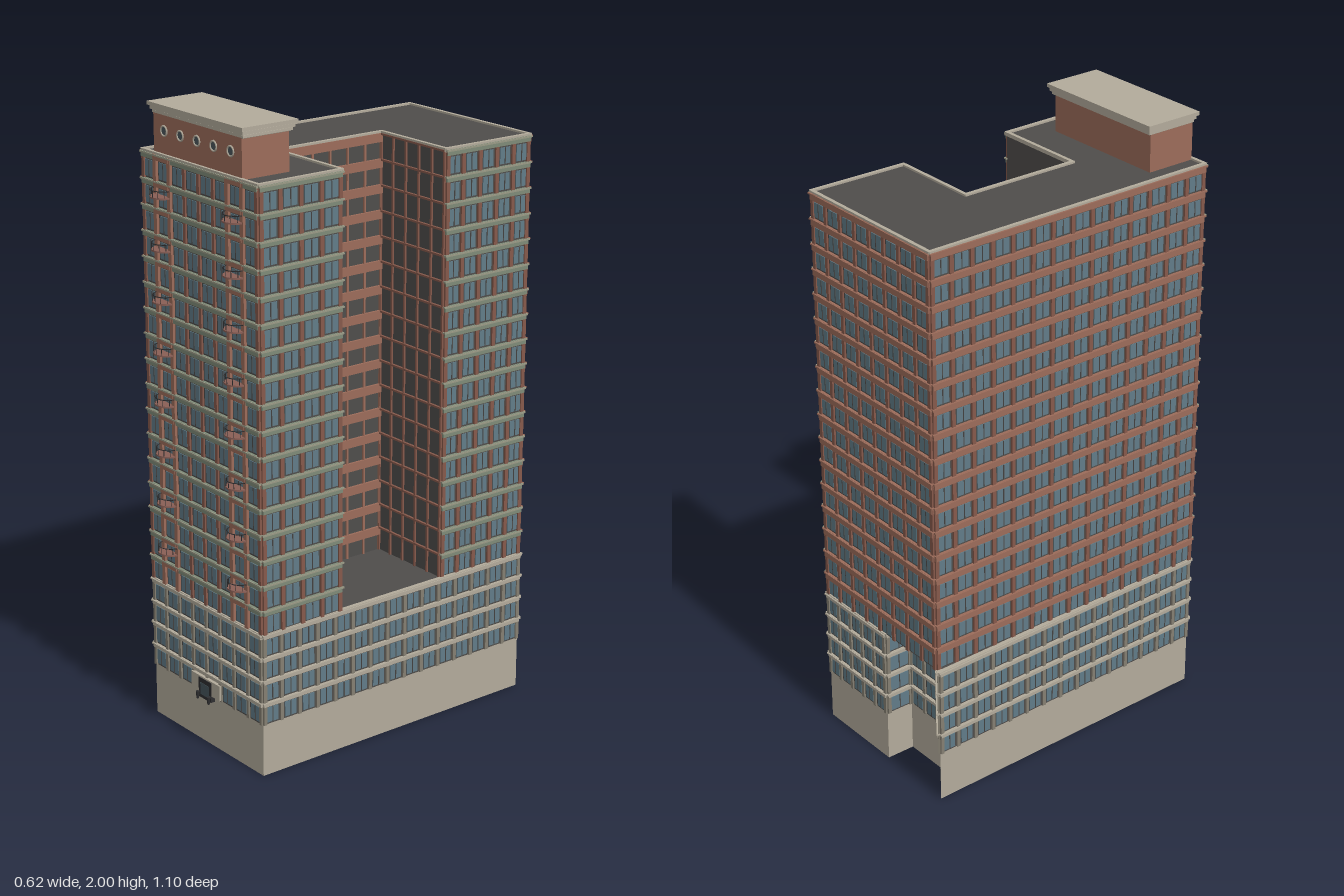
import * as THREE from 'three';
import { mergeGeometries } from 'three/addons/utils/BufferGeometryUtils.js';

const paint = {};
const mat = (color) => (paint[color] ??= new THREE.MeshStandardMaterial({ color }));
const BRICK = 0x9c6c5a, GREEN = 0x7f8b78, TAN = 0xb3ab9b, DARK = 0x4f4d4b, GLASS = 0x617c88,
  STONE = 0x857f72, PIER = 0x86594b, IRON = 0x2e2e30;

// Plan outlines [x, z], walked front, right, back, left
const TOWER = [[-0.28, 0.503], [0.297, 0.503], [0.294, 0.203], [-0.02, 0.203],
  [-0.02, -0.203], [0.284, -0.203], [0.288, -0.535], [-0.282, -0.535]];
const PODIUM = [[-0.278, 0.503], [0.294, 0.503], [0.29, -0.535], [-0.02, -0.535],
  [-0.02, -0.44], [-0.165, -0.44], [-0.298, -0.538]];
const BASE_TOP = 0.17, PODIUM_TOP = 0.468, ROOF = 1.845;

function add(parent, name, geometry, color) {
  const mesh = new THREE.Mesh(geometry, mat(color));
  mesh.name = name;
  parent.add(mesh);
  return mesh;
}

const box = (w, h, d, x, y, z) => new THREE.BoxGeometry(w, h, d).translate(x, y, z);

// Solid with the given plan between two heights
function prism(plan, y0, y1) {
  const shape = new THREE.Shape(plan.map(([x, z]) => new THREE.Vector2(x, -z)));
  return new THREE.ExtrudeGeometry(shape, { depth: y1 - y0, bevelEnabled: false })
    .rotateX(-Math.PI / 2).translate(0, y0, 0);
}

// Group on a plan edge: local x runs along the wall, local z points outward
function wallGroup(parent, name, [ax, az], [bx, bz]) {
  const group = new THREE.Group();
  group.name = name;
  group.position.set((ax + bx) / 2, 0, (az + bz) / 2);
  group.rotation.y = Math.atan2(az - bz, bx - ax);
  parent.add(group);
  return { group, length: Math.hypot(bx - ax, bz - az) };
}

// Grid of windows, piers and floor bands on one wall
function facade(parent, name, a, b, o) {
  const { group, length } = wallGroup(parent, name, a, b);
  const cw = length / o.cols, rh = (o.y1 - o.y0) / o.rows;
  const panes = [], mullions = [], piers = [], bands = [], ledges = [];
  for (let c = 0; c <= o.cols; c++) {
    const edge = c === 0 ? 0.5 : c === o.cols ? -0.5 : 0;
    piers.push(box(o.pier, o.y1 - o.y0, 0.006, -length / 2 + c * cw + edge * o.pier, (o.y0 + o.y1) / 2, 0.003));
  }
  for (let r = 0; r < o.rows; r++) {
    const top = o.y0 + (r + 1) * rh;
    bands.push(box(length, o.band, 0.008, 0, top - o.band / 2, 0.004));
    ledges.push(box(length + 0.008, 0.005, 0.012, 0, top - 0.003, 0.005));
    for (let c = 0; c < o.cols && o.glass; c++) {
      const x = -length / 2 + (c + 0.5) * cw, h = rh - o.band - 0.012;
      const y = o.y0 + r * rh + 0.006 + h / 2;
      panes.push(box(cw - o.pier - 0.014, h, 0.003, x, y, 0.001));
      mullions.push(box(0.003, h, 0.005, x, y, 0.0015));
    }
  }
  add(group, 'piers', mergeGeometries(piers), o.pierColor);
  add(group, 'floorBands', mergeGeometries(bands), o.bandColor);
  if (o.ledge) add(group, 'ledges', mergeGeometries(ledges), o.ledge);
  if (o.glass) {
    add(group, 'windowPanes', mergeGeometries(panes), GLASS);
    add(group, 'mullions', mergeGeometries(mullions), DARK);
  }
}

// Coping strip along every edge of a plan
function coping(parent, name, plan, y, width, height, color) {
  plan.forEach((p, i) => {
    const { group, length } = wallGroup(parent, name, p, plan[(i + 1) % plan.length]);
    add(group, name + 'Strip', box(length + 0.008, height, width, 0, y, 0.006 - width / 2), color);
  });
}

function buildPodium(root) {
  const g = new THREE.Group();
  g.name = 'podium';
  root.add(g);
  add(g, 'base', prism(PODIUM, 0, BASE_TOP), TAN);
  add(g, 'podiumCore', prism(PODIUM, BASE_TOP, PODIUM_TOP), DARK);
  const cols = [8, 15, 5, 1, 2, 2, 15];
  PODIUM.forEach((p, i) => facade(g, 'podiumWall', p, PODIUM[(i + 1) % PODIUM.length], {
    cols: cols[i], rows: 4, y0: BASE_TOP, y1: PODIUM_TOP, pier: 0.012, band: 0.014,
    pierColor: STONE, bandColor: TAN, ledge: TAN, glass: true,
  }));
  coping(g, 'podiumCornice', PODIUM, PODIUM_TOP - 0.004, 0.014, 0.012, TAN);

  // Entrance with stone surround and two lamps
  add(g, 'entranceSurround', box(0.15, 0.05, 0.012, 0.01, 0.2, 0.509), TAN);
  add(g, 'entranceDoor', box(0.066, 0.066, 0.018, 0.01, 0.187, 0.508), IRON);
  add(g, 'entranceGlass', box(0.046, 0.04, 0.02, 0.01, 0.185, 0.508), 0x47565c);
  for (const x of [-0.018, 0.04]) {
    add(g, 'lampBracket', box(0.004, 0.004, 0.022, x, 0.172, 0.514), IRON);
    add(g, 'lamp', new THREE.CylinderGeometry(0.006, 0.004, 0.024, 8).translate(x, 0.163, 0.525), IRON);
  }
}

function buildTower(root) {
  const g = new THREE.Group();
  g.name = 'tower';
  root.add(g);
  add(g, 'towerCore', prism(TOWER, PODIUM_TOP, ROOF), DARK);
  const common = { rows: 17, y0: PODIUM_TOP, y1: ROOF, pier: 0.013, band: 0.018, pierColor: PIER, glass: true };
  const green = { ...common, bandColor: GREEN, ledge: 0x9a9a86 };
  const brick = { ...common, bandColor: BRICK, band: 0.022, ledge: BRICK };
  const court = { ...common, bandColor: BRICK, band: 0.028, pier: 0.007, pierColor: BRICK, glass: false };
  const styles = [
    ['frontWall', 8, green], ['frontWingSide', 4, green], null, ['courtyardBackWall', 6, court],
    ['courtyardSideWall', 5, { ...court, band: 0.006, pierColor: PIER, bandColor: PIER }],
    ['rearWingSide', 5, green], ['backWall', 8, brick], ['leftWall', 14, brick],
  ];
  styles.forEach((s, i) => {
    if (s) facade(g, s[0], TOWER[i], TOWER[(i + 1) % TOWER.length], { ...s[2], cols: s[1] });
  });
  coping(g, 'roofCoping', TOWER, ROOF, 0.012, 0.012, TAN);
}

// Half-round balconies with railings, on every second floor of two brick-lined bays
function buildBalconies(root) {
  const g = new THREE.Group();
  g.name = 'balconies';
  root.add(g);
  const pitch = (ROOF - PODIUM_TOP) / 17, r = 0.042;
  for (const x of [-0.173, 0.189]) {
    for (const s of [-1, 1]) {
      add(g, 'bayPier', box(0.016, ROOF - PODIUM_TOP, 0.009, x + s * 0.036, (ROOF + PODIUM_TOP) / 2, 0.5075), BRICK);
    }
    for (let f = 0; f < 17; f++) {
      add(g, 'bayBand', box(0.072, 0.014, 0.011, x, PODIUM_TOP + (f + 1) * pitch - 0.01, 0.5085), BRICK);
    }
    for (let i = 0; i < 8; i++) {
      const balcony = new THREE.Group();
      balcony.name = 'balcony';
      balcony.position.set(x, PODIUM_TOP + (1.5 + 2 * i) * pitch, 0.504);
      add(balcony, 'slab', new THREE.CylinderGeometry(r, r, 0.005, 16, 1, false, -Math.PI / 2, Math.PI), 0x8a5f56);
      const rail = new THREE.TorusGeometry(r - 0.002, 0.0015, 4, 16, Math.PI).rotateX(Math.PI / 2);
      add(balcony, 'rail', rail.translate(0, 0.022, 0), IRON);
      for (let k = 1; k < 6; k++) {
        const t = (k / 6) * Math.PI;
        add(balcony, 'baluster', box(0.0015, 0.022, 0.0015, (r - 0.002) * Math.cos(t), 0.011, (r - 0.002) * Math.sin(t)), IRON);
      }
      g.add(balcony);
    }
  }
}

function buildPenthouse(root) {
  const g = new THREE.Group();
  g.name = 'penthouse';
  root.add(g);
  add(g, 'penthouseWalls', box(0.44, 0.125, 0.168, -0.004, 1.9075, 0.416), BRICK);
  // Stepped cornice, widening upward
  [[0.452, 0.178, 1.971, 0.008], [0.462, 0.188, 1.982, 0.01], [0.474, 0.2, 1.9945, 0.011]].forEach(([w, d, y, h]) =>
    add(g, 'cornice', box(w, h, d, -0.003, y, 0.412), TAN));
  add(g, 'corniceCore', box(0.446, 0.03, 0.172, -0.003, 1.98, 0.414), STONE);
  // Round windows across the front
  for (let i = -2; i <= 2; i++) {
    const x = -0.003 + i * 0.083;
    add(g, 'roundWindow', new THREE.CircleGeometry(0.014, 16).translate(x, 1.92, 0.5012), 0x4a565b);
    add(g, 'roundWindowFrame', new THREE.TorusGeometry(0.015, 0.003, 6, 16).translate(x, 1.92, 0.501), TAN);
  }
}

export function createModel() {
  const root = new THREE.Group();
  root.name = 'highRiseBuilding';
  buildPodium(root);
  buildTower(root);
  buildBalconies(root);
  buildPenthouse(root);
  return root;
}
